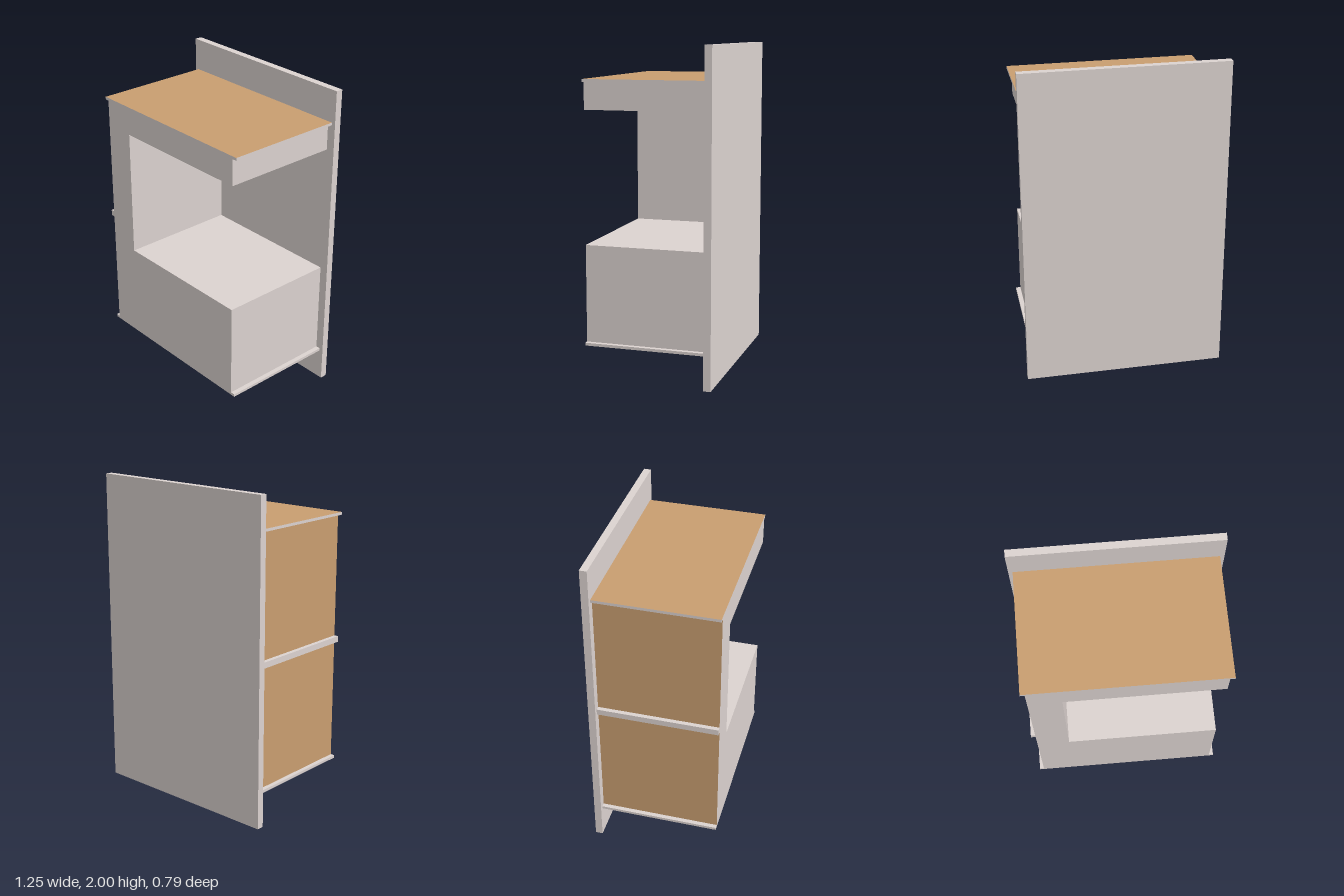
import * as THREE from 'three';

const BACK = -0.395, SEAM = -0.35, FRONT = 0.395;

export function createModel() {
  const group = new THREE.Group();
  const pale = new THREE.MeshStandardMaterial({ color: 0xdcd3d0 });
  const wood = new THREE.MeshStandardMaterial({ color: 0xc99e70 });

  // Tall back board
  const board = new THREE.Mesh(new THREE.BoxGeometry(1.245, 2, SEAM - BACK), pale);
  board.name = 'backBoard';
  board.position.set(0, 1, (BACK + SEAM) / 2);
  group.add(board);

  // C-shaped cabinet outline: lips at top and bottom, ledge halfway up the closed side
  const outline = [
    [-0.597, 0.203], [0.597, 0.203], [0.597, 0.22], [0.568, 0.22],
    [0.568, 0.815], [-0.37, 0.815], [-0.37, 1.62], [0.568, 1.62],
    [0.568, 1.783], [0.597, 1.783], [0.597, 1.8], [-0.597, 1.8],
    [-0.597, 1.783], [-0.57, 1.783], [-0.57, 1.02], [-0.597, 1.02],
    [-0.597, 0.983], [-0.57, 0.983], [-0.57, 0.22], [-0.597, 0.22],
  ].map(([x, y]) => new THREE.Vector2(x, y));
  const body = new THREE.ExtrudeGeometry(new THREE.Shape(outline), {
    depth: FRONT - SEAM, bevelEnabled: false,
  });

  // Wood finish on the top, the underside and the two closed-side panels
  const pos = body.attributes.position, nor = body.attributes.normal;
  body.clearGroups();
  for (let i = 0; i < pos.count; i += 3) {
    const x = pos.getX(i), y = pos.getY(i), nx = nor.getX(i), ny = nor.getY(i);
    const isWood = (ny > 0.5 && y > 1.79) || (ny < -0.5 && y < 0.21) ||
      (nx < -0.5 && Math.abs(x + 0.57) < 0.005);
    body.addGroup(i, 3, isWood ? 1 : 0);
  }

  const cabinet = new THREE.Mesh(body, [pale, wood]);
  cabinet.name = 'cabinetBody';
  cabinet.position.z = SEAM;
  group.add(cabinet);

  return group;
}
